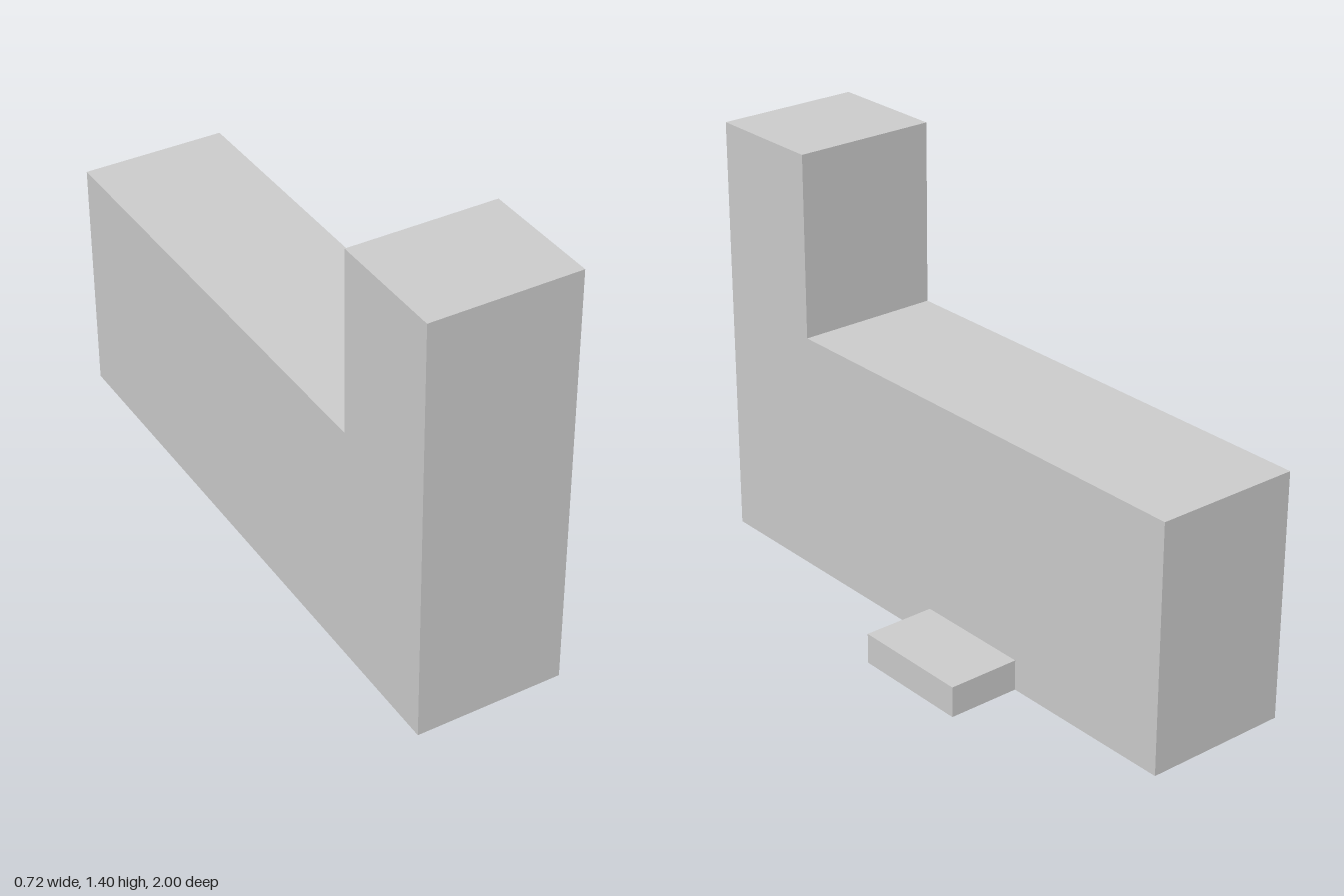
import * as THREE from 'three';

export function createModel() {
  const model = new THREE.Group();
  const material = new THREE.MeshStandardMaterial({ color: 0xcccccc, flatShading: true });

  const add = (name, geometry) => {
    const mesh = new THREE.Mesh(geometry, material);
    mesh.name = name;
    model.add(mesh);
    return mesh;
  };

  // L-shaped building: long block with a tower at the front, drawn from the side
  const profile = new THREE.Shape([
    [-1, 0], [1, 0], [1, 0.8], [-0.6, 0.8], [-0.6, 1.4], [-1, 1.4],
  ].map(([u, y]) => new THREE.Vector2(u, y)));
  const body = new THREE.ExtrudeGeometry(profile, { depth: 0.48, bevelEnabled: false });
  body.rotateY(Math.PI / 2); // profile runs front to back, depth runs along x
  add('buildingWithTower', body).position.x = -0.36;

  // Low entrance step on the left side
  add('entranceStep', new THREE.BoxGeometry(0.24, 0.1, 0.4)).position.set(0.24, 0.05, -0.2);

  return model;
}
